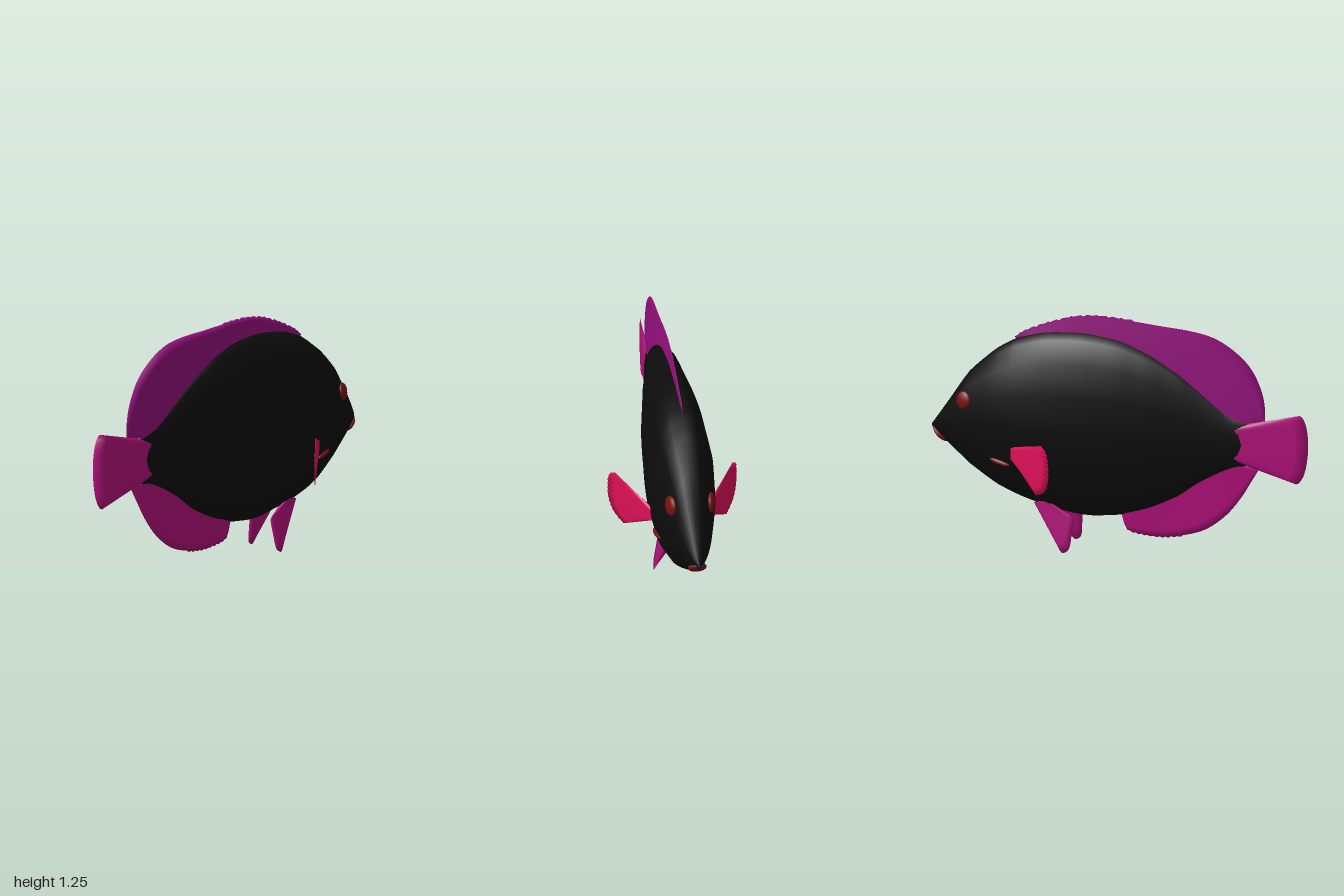
import * as THREE from 'three';

const paint = (name, color) => {
  const m = new THREE.MeshStandardMaterial({ color, side: THREE.DoubleSide });
  m.name = name;
  return m;
};

// Smooth grid of points; wrap joins the last column to the first
function gridGeometry(rows, wrap) {
  const n = rows[0].length, cols = wrap ? n : n - 1, index = [];
  for (let i = 0; i < rows.length - 1; i++) {
    for (let j = 0; j < cols; j++) {
      const k = (j + 1) % n;
      const a = i * n + j, b = (i + 1) * n + j, c = i * n + k, d = (i + 1) * n + k;
      index.push(a, b, c, b, d, c);
    }
  }
  const g = new THREE.BufferGeometry().setFromPoints(rows.flat());
  g.setIndex(index);
  g.computeVertexNormals();
  return g;
}

const curveZY = pts => new THREE.CatmullRomCurve3(pts.map(([z, y]) => new THREE.Vector3(0, y, z)));

// Fin in the z-y plane: thick at the base, sharp at the outer edge, optionally scalloped
function finGeometry(base, outer, thick, scallop = () => 0) {
  const inner = curveZY(base), rim = curveZY(outer), U = 96, M = 6, rows = [];
  for (let i = 0; i <= U; i++) {
    const u = i / U, a = inner.getPointAt(u), b = rim.getPointAt(u);
    b.addScaledVector(b.clone().sub(a).normalize(), scallop(u));
    const ends = 1 - Math.pow(2 * u - 1, 12);
    const row = [];
    for (let k = 0; k <= 2 * M; k++) {
      const v = 1 - Math.abs(k / M - 1);
      const p = a.clone().lerp(b, v);
      p.x = Math.sign(M - k) * thick * (1 - v) * ends;
      row.push(p);
    }
    rows.push(row);
  }
  return gridGeometry(rows, false);
}

// Body: elliptical rings along z
function bodyGeometry() {
  // z, top, bottom, half width
  const stations = [
    [-1, 0.612, 0.598, 0.004], [-0.975, 0.645, 0.572, 0.025], [-0.9, 0.745, 0.515, 0.062],
    [-0.77, 0.92, 0.405, 0.105], [-0.61, 1.055, 0.305, 0.143], [-0.5, 1.115, 0.26, 0.156],
    [-0.34, 1.16, 0.218, 0.155], [-0.15, 1.172, 0.196, 0.142], [0.035, 1.15, 0.218, 0.122],
    [0.2, 1.09, 0.27, 0.096], [0.355, 1.0, 0.352, 0.068], [0.46, 0.92, 0.435, 0.05],
    [0.6, 0.815, 0.52, 0.03], [0.69, 0.785, 0.55, 0.016], [0.717, 0.74, 0.6, 0.01],
    [0.727, 0.67, 0.66, 0.001]
  ];
  const size = new THREE.CatmullRomCurve3(stations.map(s => new THREE.Vector3(s[1], s[2], s[3])));
  const along = new THREE.CatmullRomCurve3(stations.map(s => new THREE.Vector3(s[0], 0, 0)));
  const rows = [], steps = 60, sides = 16;
  for (let i = 0; i <= steps; i++) {
    const z = along.getPoint(i / steps).x, { x: top, y: bottom, z: w } = size.getPoint(i / steps);
    rows.push(Array.from({ length: sides }, (_, j) => {
      const a = j / sides * Math.PI * 2;
      return new THREE.Vector3(w * Math.sin(a), (top + bottom) / 2 + (top - bottom) / 2 * Math.cos(a), z);
    }));
  }
  return gridGeometry(rows, true);
}

export function createModel() {
  const model = new THREE.Group();
  const black = paint('body black', 0x0c0c0c);
  const purple = paint('dorsal purple', 0x920f7b);
  const magenta = paint('fin magenta', 0xb01079);
  const crimson = paint('pectoral crimson', 0xdc1058);
  const darkRed = paint('dark red', 0x721210);
  const violet = paint('lip violet', 0x3a1a78);

  const add = (name, geometry, material) => {
    const mesh = new THREE.Mesh(geometry, material);
    mesh.name = name;
    model.add(mesh);
    return mesh;
  };
  const blob = (name, material, pos, scale, rot) => {
    const mesh = add(name, new THREE.SphereGeometry(1, 20, 14), material);
    mesh.position.set(...pos);
    mesh.scale.set(...scale);
    mesh.rotation.set(...rot);
  };
  const ripple = (count, amp, from = 0, to = 1) => u =>
    u > from && u < to ? amp * Math.abs(Math.sin(u * Math.PI * count)) : 0;

  add('body', bodyGeometry(), black);

  // Fins on the centre line
  add('dorsalFin', finGeometry(
    [[-0.5, 1.09], [-0.34, 1.12], [-0.15, 1.13], [0.035, 1.11], [0.2, 1.05], [0.355, 0.96],
      [0.46, 0.875], [0.6, 0.785], [0.68, 0.775], [0.735, 0.785]],
    [[-0.515, 1.12], [-0.44, 1.16], [-0.31, 1.21], [-0.18, 1.245], [-0.05, 1.254], [0.115, 1.243],
      [0.25, 1.23], [0.41, 1.215], [0.52, 1.19], [0.62, 1.135], [0.705, 1.055], [0.76, 0.95],
      [0.78, 0.87], [0.783, 0.795]],
    0.012, ripple(36, 0.008, 0.02, 0.42)), purple);
  add('analFin', finGeometry(
    [[0.7, 0.56], [0.64, 0.55], [0.58, 0.535], [0.46, 0.47], [0.355, 0.39], [0.2, 0.31], [0.06, 0.26]],
    [[0.762, 0.545], [0.72, 0.465], [0.68, 0.39], [0.6, 0.28], [0.49, 0.19], [0.355, 0.143],
      [0.22, 0.128], [0.085, 0.15], [0.055, 0.22]],
    0.012, ripple(30, 0.008, 0.6, 0.92)), magenta);
  add('tailFin', finGeometry(
    [[0.62, 0.755], [0.615, 0.67], [0.62, 0.58]],
    [[0.95, 0.84], [0.962, 0.835], [0.985, 0.79], [1, 0.67], [0.985, 0.54], [0.96, 0.495], [0.948, 0.49]],
    0.022), magenta);

  // Paired parts
  const pectoral = finGeometry(
    [[-0.02, 0.575], [-0.022, 0.54], [-0.02, 0.505]],
    [[0.245, 0.652], [0.285, 0.62], [0.3, 0.545], [0.295, 0.475], [0.265, 0.42], [0.19, 0.375]],
    0.012, ripple(14, 0.006, 0.05, 0.95));
  const pelvic = finGeometry(
    [[-0.405, 0.015], [-0.36, 0.03], [-0.3, 0.02]],
    [[-0.25, -0.225], [-0.236, -0.235], [-0.205, -0.215], [-0.19, -0.13], [-0.187, -0.05], [-0.2, -0.035]],
    0.016);
  for (const s of [1, -1]) {
    const side = s > 0 ? 'left' : 'right';
    const p = add(side + 'PectoralFin', pectoral, crimson);
    p.position.set(s * 0.15, 0, -0.47);
    p.rotation.y = s * 0.61;
    const v = add(side + 'PelvicFin', pelvic, magenta);
    v.position.set(s * 0.06, 0.24, 0);
    v.rotation.z = s * 0.17;
    blob(side + 'Eye', darkRed, [s * 0.094, 0.785, -0.77], [0.018, 0.047, 0.045], [0, s * 0.3, s * 0.15]);
    blob(side + 'GillMark', darkRed, [s * 0.125, 0.482, -0.565], [0.016, 0.014, 0.06], [0.2, s * 0.15, -s * 0.3]);
  }

  // Lips under the snout tip
  blob('lowerLip', darkRed, [0, 0.562, -0.947], [0.043, 0.02, 0.055], [0.76, 0, 0]);
  blob('upperLip', violet, [0, 0.596, -0.972], [0.026, 0.009, 0.024], [0.15, 0, 0]);

  return model;
}
